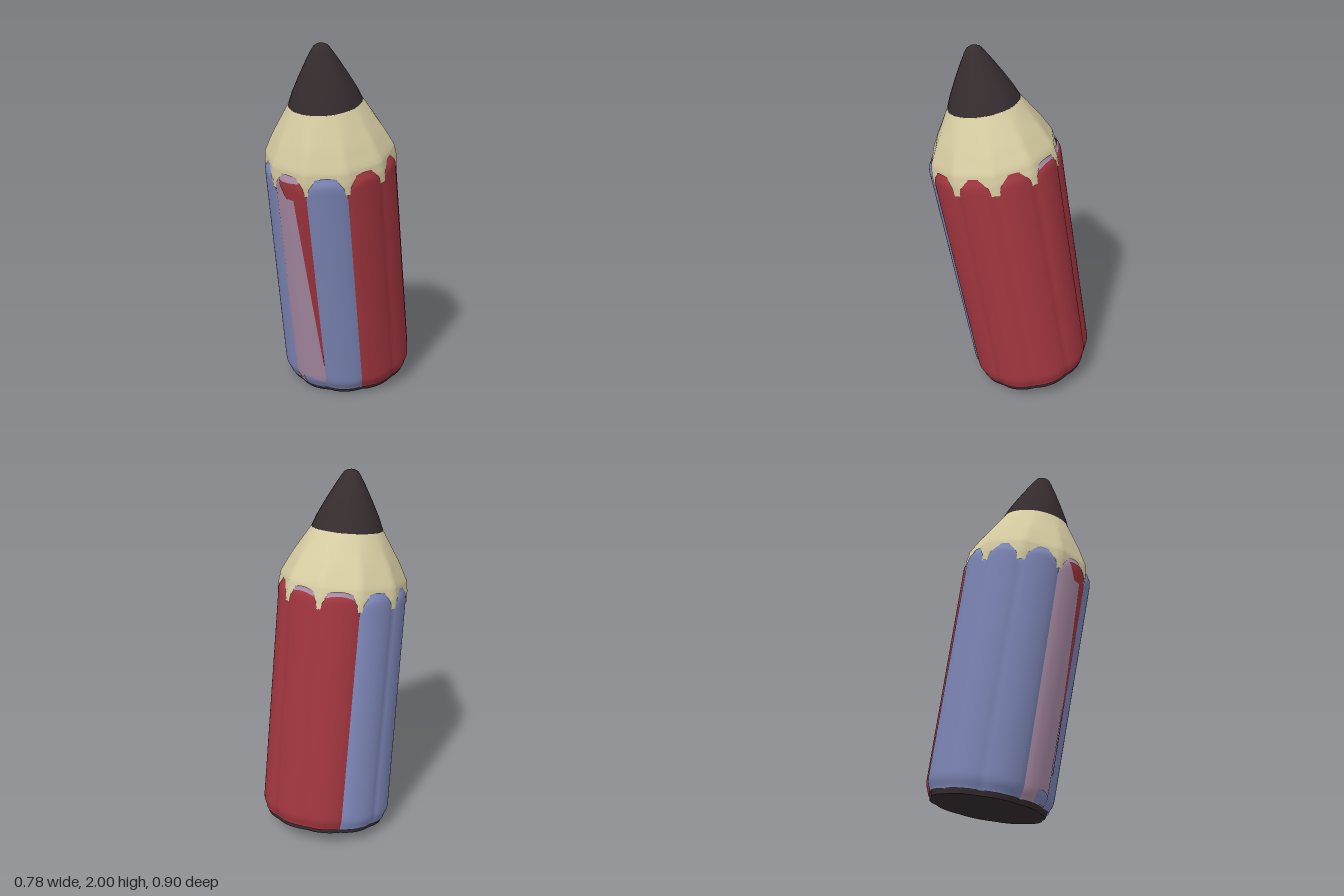
import * as THREE from 'three';
import { mergeVertices } from 'three/addons/utils/BufferGeometryUtils.js';

const mat = (name, color, extra = {}) => {
  const m = new THREE.MeshStandardMaterial({ color, ...extra });
  m.name = name;
  return m;
};
const rad = THREE.MathUtils.degToRad;
const { lerp, smoothstep } = THREE.MathUtils;

const FLUTES = 10, STEP = 360 / FLUTES, CUSP = 21; // flute width and first groove, in degrees

// 0 in a groove, 1 on the crown of a flute
const crown = (deg) => Math.abs(Math.sin(rad((deg - CUSP) * 180 / STEP)));
const bodyTop = (deg) => 1.32 + 0.06 * Math.sqrt(crown(deg));

// radius of the fluted body, slightly oval, rounded at both ends
function bodyRadius(deg, y) {
  const t = y / 1.35, s = Math.sin(rad(deg)), c = Math.cos(rad(deg));
  const oval = lerp(0.365, 0.352, t) * s * s + lerp(0.337, 0.36, t) * c * c;
  const flute = -0.013 * (1 - Math.pow(crown(deg), 0.6));
  const foot = -0.02 * (1 - smoothstep(y, 0.02, 0.09));
  const lip = -0.02 * smoothstep(y, bodyTop(deg) - 0.045, bodyTop(deg));
  return oval + flute + foot + lip;
}

// grid surface around the axis; point(u, v) gives [degrees, radius, height]
function surface(nu, nv, point) {
  const pos = [], idx = [];
  for (let j = 0; j <= nv; j++) for (let i = 0; i <= nu; i++) {
    const [deg, r, y] = point(i / nu, j / nv);
    pos.push(r * Math.sin(rad(deg)), y, r * Math.cos(rad(deg)));
  }
  for (let j = 0; j < nv; j++) for (let i = 0; i < nu; i++) {
    const a = j * (nu + 1) + i, d = a + nu + 1;
    idx.push(a, a + 1, d + 1, a, d + 1, d);
  }
  let g = new THREE.BufferGeometry();
  g.setAttribute('position', new THREE.Float32BufferAttribute(pos, 3));
  g.setIndex(idx);
  g = mergeVertices(g, 1e-5);
  g.computeVertexNormals();
  return g;
}

// radius and height along a profile of [height, radius] points
function along(profile, v) {
  const f = v * (profile.length - 1), k = Math.min(Math.floor(f), profile.length - 2);
  return [0, 1].map((n) => lerp(profile[k][n], profile[k + 1][n], f - k));
}

export function createModel() {
  const red = mat('red paint', 0xa0353e, { side: THREE.DoubleSide });
  const blue = mat('blue paint', 0x7c86b6, { side: THREE.DoubleSide });
  const pink = mat('pink paint', 0xa98ba4, { side: THREE.DoubleSide });
  const wood = mat('bare wood', 0xd6cca2);
  const dark = mat('graphite', 0x352c2e);

  const pencil = new THREE.Group();
  pencil.name = 'pencil';
  const add = (name, geometry, material) => {
    const m = new THREE.Mesh(geometry, material);
    m.name = name;
    pencil.add(m);
  };

  // painted flutes, each panel running between two grooves
  const panel = (name, material, from, to) => {
    const n = Math.round((to - from) / STEP) * 12;
    add(name, surface(n, 36, (u, v) => {
      const deg = lerp(from, to, u);
      const t = v < 0.5 ? v * v * 2 : 1 - 2 * (1 - v) * (1 - v); // denser rows at the ends
      const y = lerp(0.025, bodyTop(deg), t);
      return [deg, bodyRadius(deg, y), y];
    }), material);
  };
  panel('redFlutes', red, 21, 201);
  panel('frontBlueFlute', blue, -15, 21);
  panel('pinkFlute', pink, -51, -15);
  panel('sideBlueFlutes', blue, -159, -51);

  // thin paint patches lying on the flutes
  const patch = (name, material, nu, nv, fromTo, low, high) =>
    add(name, surface(nu, nv, (u, v) => {
      const [a, b] = fromTo(v), deg = lerp(a, b, u);
      const y = lerp(low(deg), high(deg), v);
      return [deg, bodyRadius(deg, y) + 0.004, y];
    }), material);
  patch('redRun', red, 4, 24, (v) => [lerp(-15.5, -27, v), -14.5], () => 0.2, () => 1.3);
  patch('redRunHook', red, 10, 5, (v) => [lerp(-34, -42, v), -15],
    () => 1.25, (d) => Math.min(1.345, bodyTop(d) - 0.015));
  patch('blueFootSmear', blue, 8, 4, () => [-38, -15], () => 0.03, (d) => 0.07 + 0.03 * crown(d));
  patch('pinkBackRim', pink, 28, 5, () => [129, 201],
    (d) => bodyTop(d) - 0.02, (d) => bodyTop(d) + 0.004);

  // sharpened wood: faceted at the paint, round at the lead
  const cone = [[1.28, 0.346], [1.34, 0.346], [1.40, 0.337], [1.5, 0.288], [1.6, 0.23], [1.66, 0.194]];
  add('woodCone', surface(80, 20, (u, v) => {
    const deg = CUSP + u * 360, [y, r] = along(cone, v);
    const half = rad(STEP / 2), d = rad((u * 360) % STEP) - half;
    const facet = Math.cos(half) / Math.cos(d) * 1.02;
    return [deg, r * lerp(facet, 1, smoothstep(v, 0.45, 1)), y];
  }), wood);

  // lead with a blunt tip
  const lead = [[1.66, 0.194], [1.72, 0.17], [1.8, 0.13], [1.88, 0.087], [1.935, 0.055],
    [1.96, 0.038], [1.97, 0.02], [1.973, 0]];
  add('lead', surface(28, 14, (u, v) => {
    const [y, r] = along(lead, v);
    return [u * 360, r, y];
  }), dark);

  // dark base: rim wall and flat end
  const rim = (deg) => bodyRadius(deg, 0.03) - 0.005;
  add('baseRim', surface(80, 1, (u, v) => [u * 360, rim(u * 360) - 0.008 * (1 - v), v * 0.04]), dark);
  add('baseEnd', surface(80, 1, (u, v) => [u * 360, v * (rim(u * 360) - 0.008), 0]), dark);

  // lean the whole pencil from its base centre to its tip
  const base = new THREE.Vector3(0.03, 0.06, -0.13);
  const lean = new THREE.Vector3(-0.08, 2, 0.2).sub(base).normalize();
  pencil.position.copy(base);
  pencil.quaternion.setFromUnitVectors(new THREE.Vector3(0, 1, 0), lean);

  const model = new THREE.Group();
  model.name = 'leaningPencil';
  model.add(pencil);
  return model;
}
